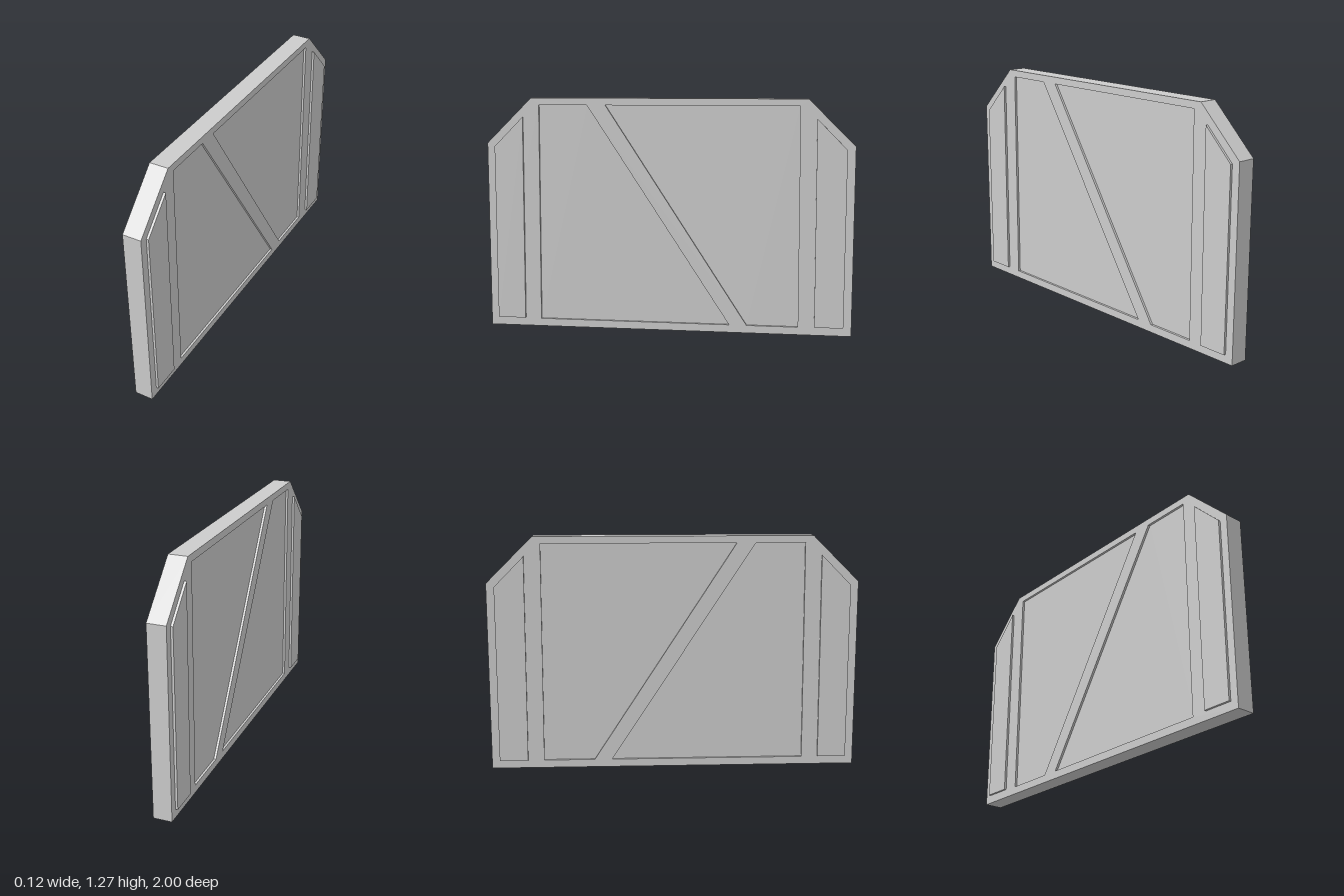
import * as THREE from 'three';

const material = new THREE.MeshStandardMaterial({ color: 0xcccccc, flatShading: true });

const toPoints = (pts) => pts.map(([z, y]) => new THREE.Vector2(z, y));
const mirrorZ = (pts) => pts.map(([z, y]) => [-z, y]).reverse();

// Extrude a (z, y) outline across x, centred on x = 0
function slab(name, outline, thickness, holes = []) {
  const shape = new THREE.Shape(toPoints(outline));
  shape.holes = holes.map((h) => new THREE.Path(toPoints(h)));
  const geometry = new THREE.ExtrudeGeometry(shape, { depth: thickness, bevelEnabled: false });
  geometry.translate(0, 0, -thickness / 2);
  geometry.rotateY(-Math.PI / 2);
  const mesh = new THREE.Mesh(geometry, material);
  mesh.name = name;
  return mesh;
}

export function createModel() {
  const group = new THREE.Group();
  group.name = 'wallPanel';

  // Outline with chamfered top corners
  const outline = [[-1, 0], [1, 0], [1, 1.025], [0.75, 1.273], [-0.75, 1.273], [-1, 1.025]];

  // Two fields on either side of the diagonal brace
  const frontField = [[0.714, 0.042], [0.707, 1.235], [0.44, 1.235], [-0.341, 0.042]];
  const backField = [[-0.436, 0.042], [0.339, 1.235], [-0.707, 1.235], [-0.714, 0.042]];

  // Frame with diagonal brace, and the sunken infill in its openings
  group.add(slab('frame', outline, 0.1, [frontField, backField]));
  group.add(slab('frontInfill', frontField, 0.075));
  group.add(slab('backInfill', backField, 0.075));

  // Raised strips near the two ends, standing proud on both faces
  const strip = [[0.957, 0.046], [0.957, 1.007], [0.796, 1.17], [0.802, 0.046]];
  group.add(slab('frontRaisedStrip', strip, 0.125));
  group.add(slab('backRaisedStrip', mirrorZ(strip), 0.125));

  return group;
}
